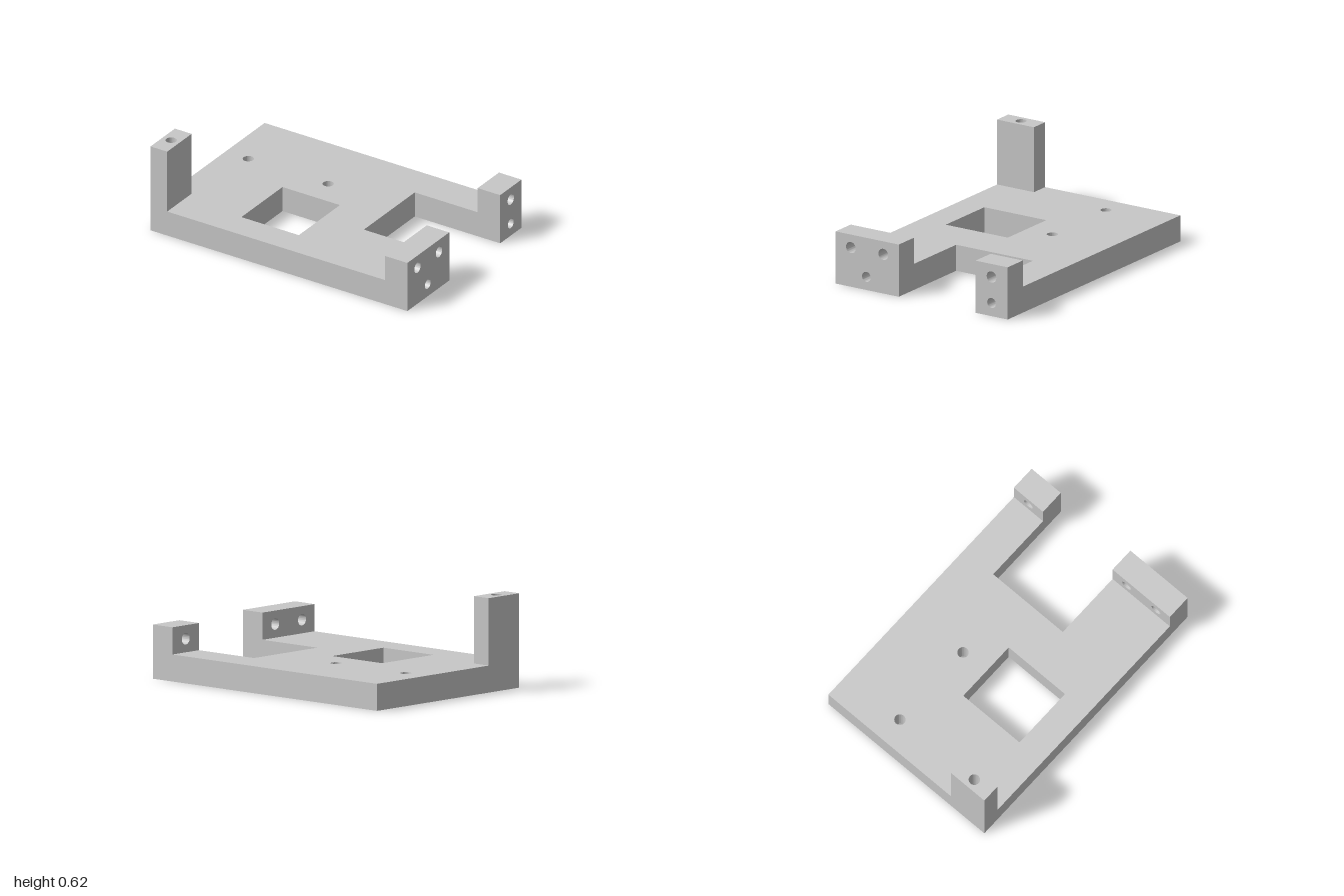
import * as THREE from 'three';
import { toCreasedNormals } from 'three/addons/utils/BufferGeometryUtils.js';

const HOLE = 0.038, SMALL_HOLE = 0.034, PIN_HOLE = 0.037;

const polygon = (points, Type = THREE.Shape) =>
  new Type(points.map(([a, b]) => new THREE.Vector2(a, b)));

const rect = (a0, a1, b0, b1, Type) =>
  polygon([[a0, b0], [a1, b0], [a1, b1], [a0, b1]], Type);

const bore = (a, b, r) => new THREE.Path().absarc(a, b, r, 0, Math.PI * 2, true);

// Extrude a profile between two stations
function prism(shape, from, to, holes = []) {
  shape.holes.push(...holes);
  const geo = new THREE.ExtrudeGeometry(shape, {
    depth: to - from, bevelEnabled: false, curveSegments: 32,
  });
  geo.translate(0, 0, from);
  return toCreasedNormals(geo, 0.6);
}
// Profile in (x, -z), raised along y
const upright = (...args) => prism(...args).rotateX(-Math.PI / 2);
// Profile in (-z, y), run along x
const sideways = (...args) => prism(...args).rotateY(Math.PI / 2);

export function createModel() {
  const model = new THREE.Group();
  model.name = 'mountingBracket';
  const grey = new THREE.MeshStandardMaterial({ color: 0xc8c8c8 });
  grey.name = 'lightGrey';
  const add = (name, geo) => {
    const mesh = new THREE.Mesh(geo, grey);
    mesh.name = name;
    model.add(mesh);
  };

  const thick = 0.178, halfZ = 0.677;
  const slotFront = -0.18, slotBack = 0.424; // slot edges, as -z
  const armEnd = 0.7; // floor of the blind screw holes

  // Base plate with open slot, square window and two through holes
  const outline = polygon([
    [-1, -halfZ], [armEnd, -halfZ], [armEnd, slotFront], [0.335, slotFront],
    [0.335, slotBack], [armEnd, slotBack], [armEnd, halfZ], [-1, halfZ],
  ]);
  add('basePlate', upright(outline, 0, thick, [
    rect(-0.425, 0.022, -0.475, 0.013, THREE.Path),
    bore(-0.822, 0.213, PIN_HOLE),
    bore(-0.201, 0.213, PIN_HOLE),
  ]));

  // Raised end blocks: upper holes go through, lower ones are blind
  const blocks = [
    { name: 'front', a0: -halfZ, a1: slotFront, upper: [-0.557, -0.302], lower: -0.435 },
    { name: 'back', a0: slotBack, a1: halfZ, upper: [0.55], lower: 0.55 },
  ];
  for (const { name, a0, a1, upper, lower } of blocks) {
    const blind = () => bore(lower, 0.09, SMALL_HOLE);
    add(name + 'Arm', sideways(rect(a0, a1, 0, thick), armEnd, 0.825, [blind()]));
    add(name + 'EndBlock', sideways(rect(a0, a1, 0, 0.357), 0.825, 1,
      [blind(), ...upper.map((a) => bore(a, 0.268, HOLE))]));
  }

  // Corner post with a blind hole in its top
  const postShape = () => rect(-1, -0.87, -halfZ, -0.387);
  add('postBase', upright(postShape(), thick, 0.36));
  add('postTop', upright(postShape(), 0.36, 0.622, [bore(-0.934, -0.532, PIN_HOLE)]));

  return model;
}
